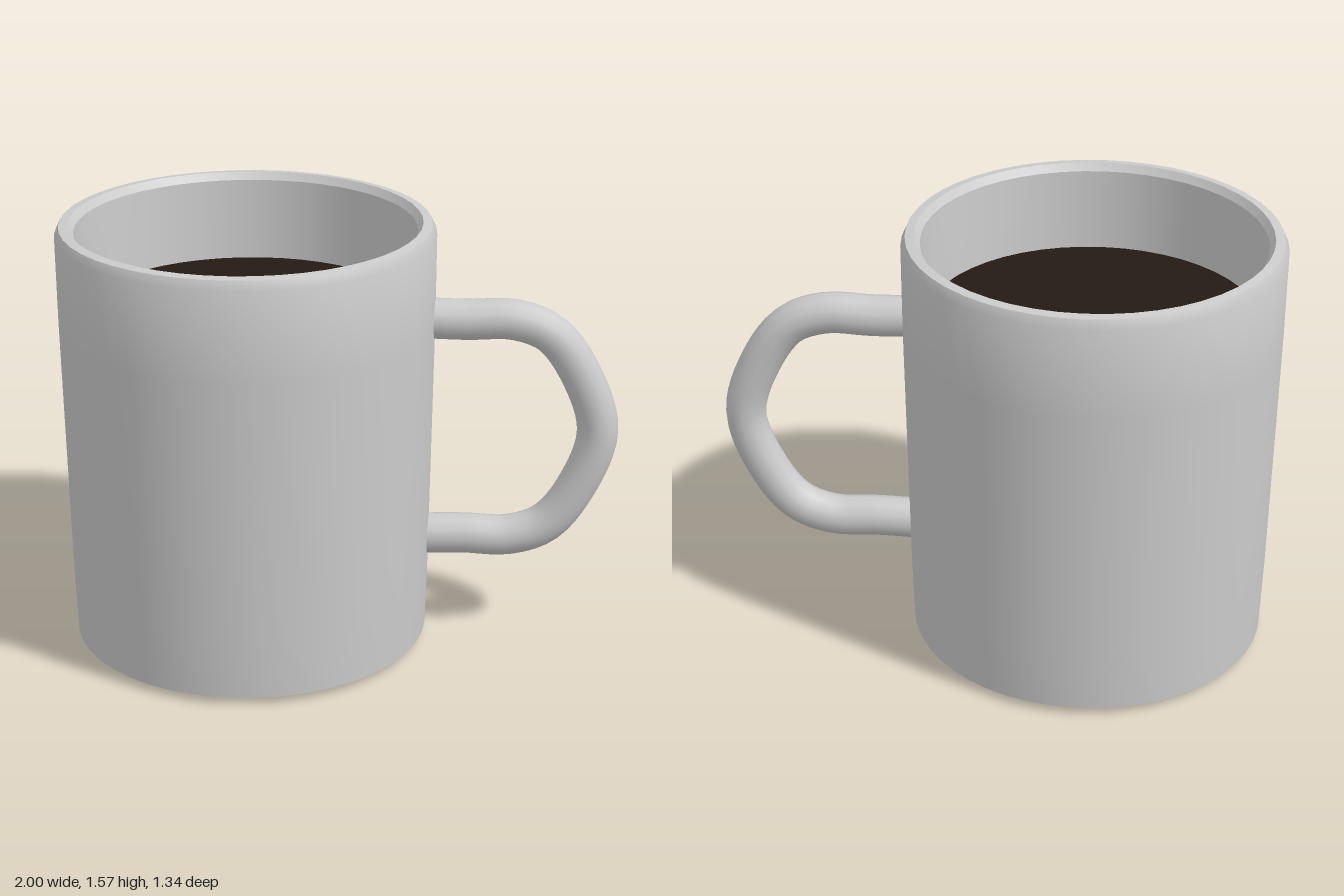
import * as THREE from 'three';
import { toCreasedNormals } from 'three/addons/utils/BufferGeometryUtils.js';

const CENTER_X = -0.33;

function part(name, geometry, color = 0xcccccc) {
  const mesh = new THREE.Mesh(geometry, new THREE.MeshStandardMaterial({ color }));
  mesh.name = name;
  return mesh;
}

export function createModel() {
  const model = new THREE.Group();
  model.name = 'mug';

  // Hollow body: base, tapered outer wall, bevelled rim, inner wall and floor
  const profile = [
    [0, 0], [0.59, 0], [0.645, 0.027],
    [0.652, 0.25], [0.668, 1.2], [0.67, 1.53],
    [0.655, 1.563], [0.622, 1.567], [0.603, 1.54],
    [0.592, 1.24], [0.575, 0.14], [0.53, 0.09], [0, 0.09],
  ].map(([r, y]) => new THREE.Vector2(r, y));
  const body = part('body', toCreasedNormals(new THREE.LatheGeometry(profile, 48), 0.5));
  body.position.x = CENTER_X;
  model.add(body);

  // Drink surface inside the mug
  const drink = part('drink', new THREE.CircleGeometry(0.594, 48).rotateX(-Math.PI / 2), 0x241a14);
  drink.position.set(CENTER_X, 1.24, 0);
  model.add(drink);

  // D-shaped handle, upper half mirrored about its middle height
  const midY = 0.8;
  const upper = [[0.29, 0.418], [0.45, 0.414], [0.62, 0.416], [0.75, 0.365], [0.86, 0.215]];
  const points = [
    ...upper.map(([x, dy]) => new THREE.Vector3(x, midY + dy, 0)),
    new THREE.Vector3(0.927, midY, 0),
    ...upper.slice().reverse().map(([x, dy]) => new THREE.Vector3(x, midY - dy, 0)),
  ];
  const path = new THREE.CatmullRomCurve3(points);
  model.add(part('handle', new THREE.TubeGeometry(path, 48, 0.074, 12)));

  return model;
}
